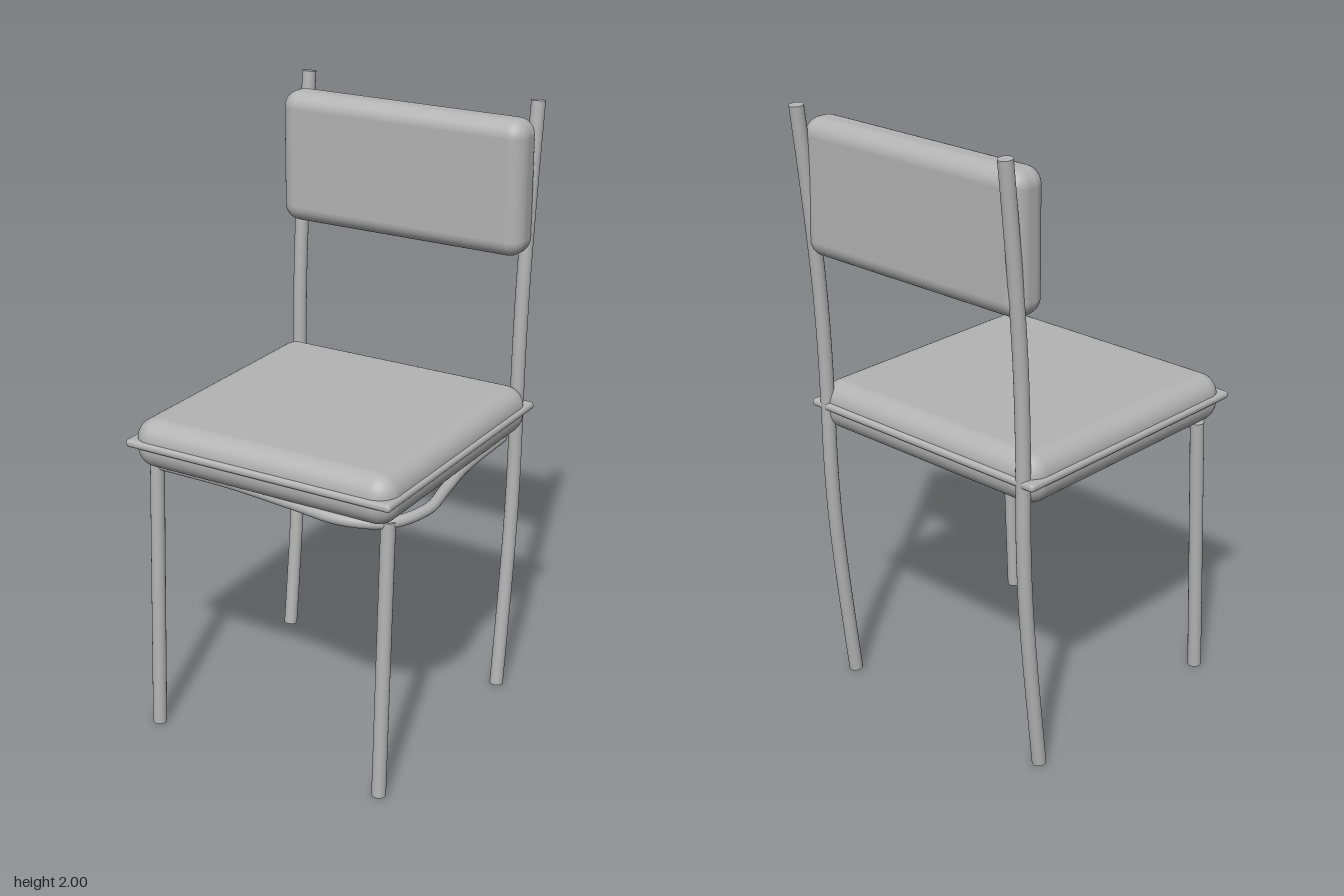
import * as THREE from 'three';
import { RoundedBoxGeometry } from 'three/addons/geometries/RoundedBoxGeometry.js';

const grey = new THREE.MeshStandardMaterial({ color: 0xb3b3b3 });
grey.name = 'grey';

const CENTRE = -0.01; // seat and legs sit slightly off the middle

function add(group, name, geometry) {
  const mesh = new THREE.Mesh(geometry, grey);
  mesh.name = name;
  group.add(mesh);
  return mesh;
}

// Rounded block given by its lower and upper corners
function block(group, name, lo, hi, radius, segments) {
  const size = hi.map((v, i) => v - lo[i]);
  const mesh = add(group, name, new RoundedBoxGeometry(...size, segments, radius));
  mesh.position.set(...hi.map((v, i) => (v + lo[i]) / 2));
}

// Smooth bent tube with a flat cap on each end
function tube(name, points, radius, segments) {
  const group = new THREE.Group();
  group.name = name;
  const curve = new THREE.CatmullRomCurve3(points.map((p) => new THREE.Vector3(...p)));
  add(group, name + 'Tube', new THREE.TubeGeometry(curve, segments, radius, 20));
  for (const t of [0, 1]) {
    const cap = add(group, name + 'Cap', new THREE.CircleGeometry(radius, 20));
    const outward = curve.getTangent(t).multiplyScalar(t ? 1 : -1);
    cap.position.copy(curve.getPoint(t));
    cap.quaternion.setFromUnitVectors(new THREE.Vector3(0, 0, 1), outward);
  }
  return group;
}

export function createModel() {
  const chair = new THREE.Group();
  chair.name = 'chair';

  // Padded seat with a thin flange around its middle
  block(chair, 'seatCushion', [-0.475, 0.922, -0.425], [0.455, 1.084, 0.503], 0.068, 6);
  block(chair, 'seatFlange', [-0.485, 0.995, -0.437], [0.465, 1.021, 0.513], 0.012, 4);

  // Padded backrest
  block(chair, 'backrest', [-0.455, 1.517, -0.47], [0.432, 1.955, -0.338], 0.055, 6);

  // Bent rear posts and raked front legs, as [y, z] down each side
  const rear = [[0.002, -0.337], [0.2, -0.361], [0.4, -0.384], [0.6, -0.403], [0.8, -0.413],
    [1.0, -0.415], [1.2, -0.419], [1.4, -0.429], [1.6, -0.446], [1.8, -0.467], [1.998, -0.49]];
  const front = [[0.002, 0.464], [0.46, 0.443], [0.925, 0.421]];
  for (const side of [-1, 1]) {
    const x = CENTRE + side * 0.42;
    const place = ([y, z]) => [x, y, z];
    const label = side > 0 ? 'left' : 'right';
    chair.add(tube(label + 'RearPost', rear.map(place), 0.023, 48));
    chair.add(tube(label + 'FrontLeg', front.map(place), 0.023, 12));
  }

  // One bent rail under the front and left edges of the seat
  chair.add(tube('underseatRail', [
    [-0.42, 0.917, 0.42], [-0.15, 0.917, 0.425], [0.1, 0.918, 0.455], [0.28, 0.918, 0.473],
    [0.41, 0.918, 0.42], [0.462, 0.918, 0.28], [0.44, 0.918, 0.13], [0.41, 0.917, -0.05],
    [0.4, 0.917, -0.335],
  ], 0.018, 64));

  return chair;
}
